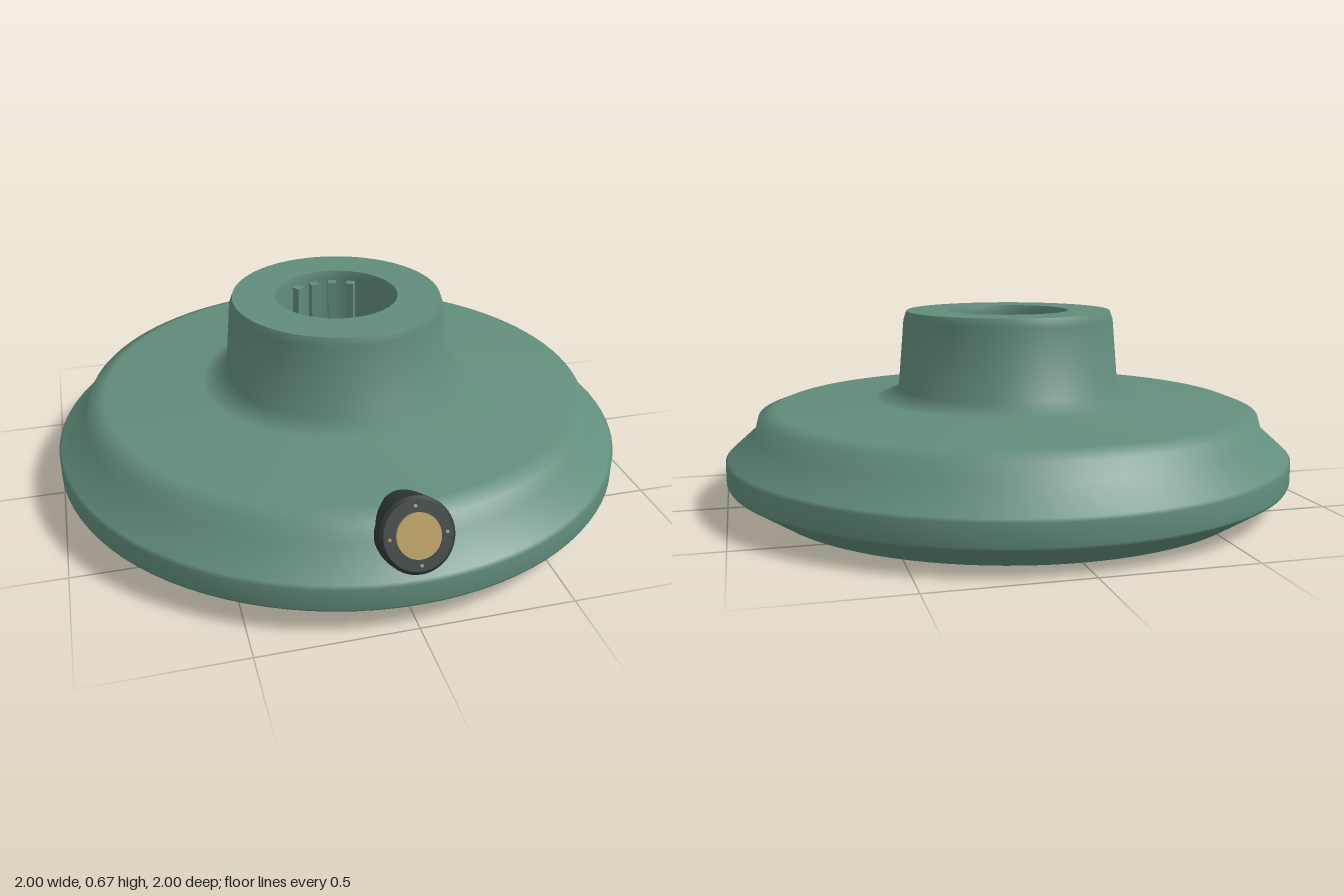
import * as THREE from 'three';

export function createModel() {
  const model = new THREE.Group();
  const green = new THREE.MeshStandardMaterial({ color: 0x628d7c });
  green.name = 'sage green';
  const dark = new THREE.MeshStandardMaterial({ color: 0x2f3939 });
  dark.name = 'charcoal';
  const gold = new THREE.MeshStandardMaterial({ color: 0xb3985c });
  gold.name = 'brass';

  const add = (parent, name, geometry, material) => {
    const mesh = new THREE.Mesh(geometry, material);
    mesh.name = name;
    parent.add(mesh);
    return mesh;
  };
  const lathe = (name, points) => add(model, name,
    new THREE.LatheGeometry(points.map(([r, y]) => new THREE.Vector2(r, y)), 96), green);

  // Revolved body, split wherever the edge is sharp
  lathe('underside', [[0.22, 0], [0.865, 0]]);
  lathe('baseShell', [
    [0.865, 0], [0.995, 0.085], [1, 0.095], [1, 0.165], [0.99, 0.175],
    [0.9, 0.255], [0.885, 0.31], [0.825, 0.333], [0.48, 0.355],
    [0.395, 0.39], [0.374, 0.635], [0.363, 0.665],
  ]);
  lathe('collarTop', [[0.363, 0.665], [0.215, 0.665]]);
  lathe('socketWall', [[0.215, 0.665], [0.21, 0.64], [0.21, 0.005]]);

  // Dark floor closing the socket
  const floor = add(model, 'socketFloor', new THREE.CylinderGeometry(0.225, 0.225, 0.009, 64), dark);
  floor.position.y = 0.0045;

  // Vertical keys along the back of the socket
  for (const degrees of [-30, -10, 10, 30]) {
    const a = THREE.MathUtils.degToRad(degrees);
    const rib = add(model, 'socketRib', new THREE.BoxGeometry(0.03, 0.625, 0.035), green);
    rib.position.set(Math.sin(a) * 0.197, 0.3175, -Math.cos(a) * 0.197);
    rib.rotation.y = -a;
  }

  // Tilted side port; local +y points out along its axis
  const port = new THREE.Group();
  port.name = 'sidePort';
  port.position.set(0, 0.3, 0.95);
  port.rotation.x = THREE.MathUtils.degToRad(90 - 26);
  model.add(port);
  const body = add(port, 'portBody', new THREE.CylinderGeometry(0.115, 0.115, 0.3, 48, 1, true), dark);
  body.position.y = -0.16;
  const bevel = add(port, 'portBevel', new THREE.CylinderGeometry(0.105, 0.115, 0.01, 48), dark);
  bevel.position.y = -0.005;
  const cap = add(port, 'portCap', new THREE.CylinderGeometry(0.068, 0.068, 0.009, 48), gold);
  cap.position.y = 0.0045;

  // Four small screws around the cap
  for (let i = 0; i < 4; i++) {
    const a = i * Math.PI / 2;
    const screw = add(port, 'portScrew', new THREE.CylinderGeometry(0.005, 0.005, 0.006, 10), gold);
    screw.position.set(Math.cos(a) * 0.087, 0.002, Math.sin(a) * 0.087);
  }
  return model;
}
